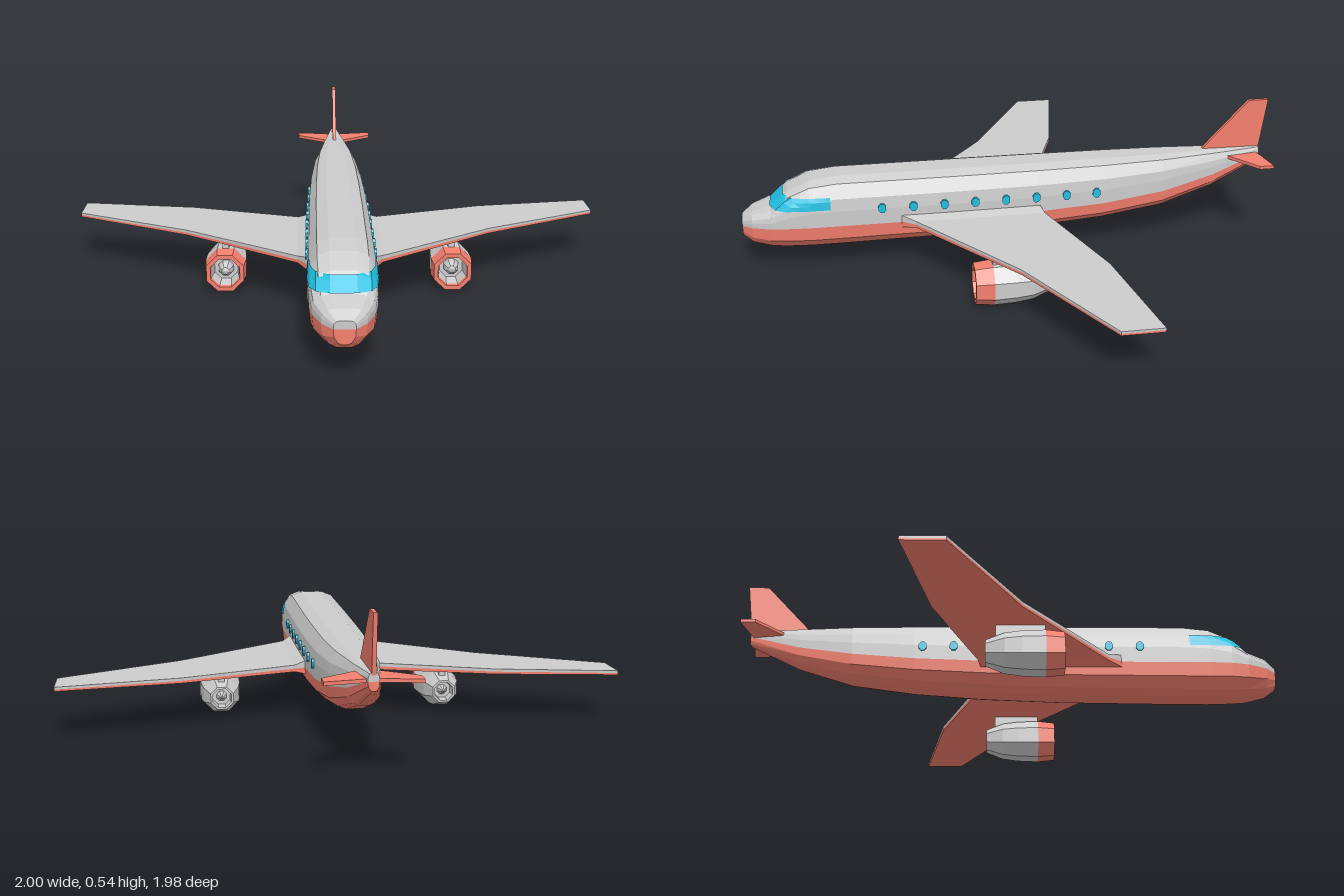
import * as THREE from 'three';

const material = (color) => new THREE.MeshStandardMaterial({ color, flatShading: true, side: THREE.DoubleSide });
const GREY = material(0xcccccc), RED = material(0xf47f6e), BLUE = material(0x1fbfe0);
const lerp = THREE.MathUtils.lerp;

function part(parent, name, geometry, mat) {
  const mesh = new THREE.Mesh(geometry, mat);
  mesh.name = name;
  parent.add(mesh);
  return mesh;
}

// Skin a list of open point rings, optionally closing both ends with fans
function loft(rings, caps = true) {
  const n = rings[0].length, index = [], last = (rings.length - 1) * n;
  for (let i = 0; i < rings.length - 1; i++)
    for (let j = 0; j < n - 1; j++) {
      const a = i * n + j, b = a + 1, c = b + n, d = a + n;
      index.push(a, b, d, b, c, d);
    }
  if (caps)
    for (let j = 1; j < n - 1; j++) index.push(0, j + 1, j, last, last + j, last + j + 1);
  const g = new THREE.BufferGeometry();
  g.setAttribute('position', new THREE.Float32BufferAttribute(rings.flat(2), 3));
  g.setIndex(index);
  g.computeVertexNormals();
  return g;
}

// Fuselage stations from tail to nose: z, half width, bottom, belt line, top
const STATIONS = [
  [-0.97, 0.018, 0.295, 0.325, 0.352],
  [-0.78, 0.055, 0.205, 0.265, 0.354],
  [-0.58, 0.088, 0.145, 0.225, 0.355],
  [-0.35, 0.105, 0.115, 0.2, 0.355],
  [-0.1, 0.112, 0.097, 0.188, 0.355],
  [0.2, 0.115, 0.085, 0.185, 0.355],
  [0.64, 0.115, 0.08, 0.185, 0.355],
  [0.74, 0.115, 0.08, 0.185, 0.343],
  [0.82, 0.11, 0.082, 0.185, 0.305],
  [0.88, 0.1, 0.085, 0.183, 0.25],
  [0.95, 0.072, 0.1, 0.18, 0.228],
  [0.988, 0.035, 0.125, 0.175, 0.203],
];
// Half cross-sections: fraction of width, fraction of height from the belt
const UPPER = [[1, 0], [1, 0.35], [0.95, 0.62], [0.72, 0.91], [0.38, 1]];
const LOWER = [[1, 0], [0.95, 0.5], [0.65, 0.85], [0.33, 1]];

// Half width of the upper fuselage at a given z and y, or -1 above it
function halfWidth(z, y) {
  let i = 0;
  while (i < STATIONS.length - 2 && STATIONS[i + 1][0] < z) i++;
  const a = STATIONS[i], b = STATIONS[i + 1], t = (z - a[0]) / (b[0] - a[0]);
  const [, w, , belt, top] = a.map((v, k) => lerp(v, b[k], t));
  const v = (y - belt) / (top - belt);
  if (v > 1) return -1;
  for (let k = 1; k < UPPER.length; k++) {
    const [u0, v0] = UPPER[k - 1], [u1, v1] = UPPER[k];
    if (v <= v1) return w * lerp(u0, u1, (v - v0) / (v1 - v0));
  }
  return -1;
}

function addFuselage(plane) {
  const body = new THREE.Group();
  body.name = 'fuselage';
  plane.add(body);
  const upper = STATIONS.map(([z, w, , belt, top]) => {
    const at = (s) => ([u, v]) => [s * u * w, lerp(belt, top, v), z];
    return [...UPPER.map(at(1)), ...UPPER.map(at(-1)).reverse()];
  });
  const lower = STATIONS.map(([z, w, bottom, belt]) => {
    const at = (s) => ([u, v]) => [s * u * w, lerp(belt, bottom, v), z];
    return [...LOWER.map(at(-1)), ...LOWER.map(at(1)).reverse()];
  });
  part(body, 'upperFuselage', loft(upper), GREY);
  part(body, 'lowerFuselage', loft(lower), RED);

  // Cockpit glass follows the hull at several heights
  const rows = [0.296, 0.281, 0.266, 0.251].map((y) => {
    const frontZ = (x) => {
      let lo = 0.7, hi = 0.98;
      for (let k = 0; k < 30; k++) {
        const mid = (lo + hi) / 2;
        if (halfWidth(mid, y) > x) lo = mid; else hi = mid;
      }
      return lo;
    };
    const half = [0, 0.04, 0.085].map((x) => [x, frontZ(x)]);
    const z0 = half[2][1];
    for (let k = 1; k <= 5; k++) {
      const z = lerp(z0, 0.66, k / 5);
      half.push([halfWidth(z, y), z]);
    }
    const at = (s) => ([x, z]) => [s * (x + (x ? 0.003 : 0)), y + 0.002, z + 0.005];
    return [...half.map(at(1)).reverse(), ...half.slice(1).map(at(-1))];
  });
  part(body, 'cockpitWindow', loft(rows, false), BLUE);

  // Cabin windows
  const pane = new THREE.CylinderGeometry(0.017, 0.017, 0.014, 8);
  pane.rotateY(Math.PI / 8).rotateZ(Math.PI / 2).scale(1, 1.1, 0.9);
  for (const s of [1, -1])
    for (let i = 0; i < 8; i++) {
      const z = 0.48 - i * 0.114;
      part(body, 'cabinWindow', pane, BLUE).position.set(s * halfWidth(z, 0.247), 0.247, z);
    }
}

// Flat surface from rows of: x, front z, back z, bottom, middle, top
function addPanel(parent, name, rows, side, topMat, bottomMat) {
  const order = side > 0 ? [...rows].reverse() : rows;
  const top = order.map(([x, f, b, , m, t]) =>
    [[side * x, m, f], [side * x, t, f], [side * x, t, b], [side * x, m, b]]);
  const bottom = order.map(([x, f, b, l, m]) =>
    [[side * x, m, b], [side * x, l, b], [side * x, l, f], [side * x, m, f]]);
  part(parent, name + 'Top', loft(top), topMat);
  part(parent, name + 'Bottom', loft(bottom), bottomMat);
}

const WING = [
  [0.09, 0.45, -0.1, 0.16, 0.187, 0.22],
  [0.115, 0.41, -0.105, 0.165, 0.187, 0.212],
  [0.15, 0.36, -0.115, 0.175, 0.187, 0.2],
  [0.565, 0.04, -0.265, 0.178, 0.187, 0.197],
  [1, -0.2, -0.345, 0.18, 0.187, 0.195],
];
const TAILPLANE = [
  [0.01, -0.82, -0.955, 0.32, 0.326, 0.332],
  [0.05, -0.85, -0.965, 0.32, 0.326, 0.332],
  [0.155, -0.93, -0.984, 0.32, 0.326, 0.332],
];

// Eight-sided turned part with its axis along z; points are [radius, z]
function turned(points) {
  const g = new THREE.LatheGeometry(points.map(([r, z]) => new THREE.Vector2(r, z)), 8, Math.PI / 8);
  return g.rotateX(Math.PI / 2);
}

function addEngine(plane, side) {
  const engine = new THREE.Group();
  engine.name = side > 0 ? 'leftEngine' : 'rightEngine';
  engine.position.set(side * 0.417, 0.076, 0);
  plane.add(engine);
  part(engine, 'cowl', turned([[0.081, 0.12], [0.074, 0.185], [0.058, 0.185], [0.055, 0.17]]), RED);
  part(engine, 'nacelle', turned([[0, -0.045], [0.034, -0.045], [0.037, -0.085], [0.045, -0.085],
    [0.07, -0.02], [0.078, 0.04], [0.081, 0.12]]), GREY);
  part(engine, 'intake', turned([[0.055, 0.17], [0.046, 0.115], [0, 0.115]]), GREY);
  part(engine, 'spinner', turned([[0.03, 0.115], [0.026, 0.14], [0.014, 0.158], [0, 0.163]]), GREY);
  part(engine, 'exhaustCone', turned([[0, -0.085], [0.02, -0.045]]), GREY);
  part(engine, 'pylon', new THREE.BoxGeometry(0.024, 0.06, 0.17), GREY).position.set(0, 0.084, 0.035);
}

export function createModel() {
  const plane = new THREE.Group();
  plane.name = 'airplane';
  addFuselage(plane);
  for (const side of [1, -1]) {
    const label = side > 0 ? 'left' : 'right';
    addPanel(plane, label + 'Wing', WING, side, GREY, RED);
    addPanel(plane, label + 'Tailplane', TAILPLANE, side, RED, RED);
    addEngine(plane, side);
  }

  // Upright fin, drawn with -z to the right and then turned
  const outline = [[0.74, 0.345], [0.97, 0.345], [0.995, 0.54], [0.92, 0.54]];
  const fin = new THREE.ExtrudeGeometry(
    new THREE.Shape(outline.map(([x, y]) => new THREE.Vector2(x, y))),
    { depth: 0.014, bevelEnabled: false });
  fin.translate(0, 0, -0.007).rotateY(Math.PI / 2);
  part(plane, 'fin', fin, RED);
  return plane;
}
